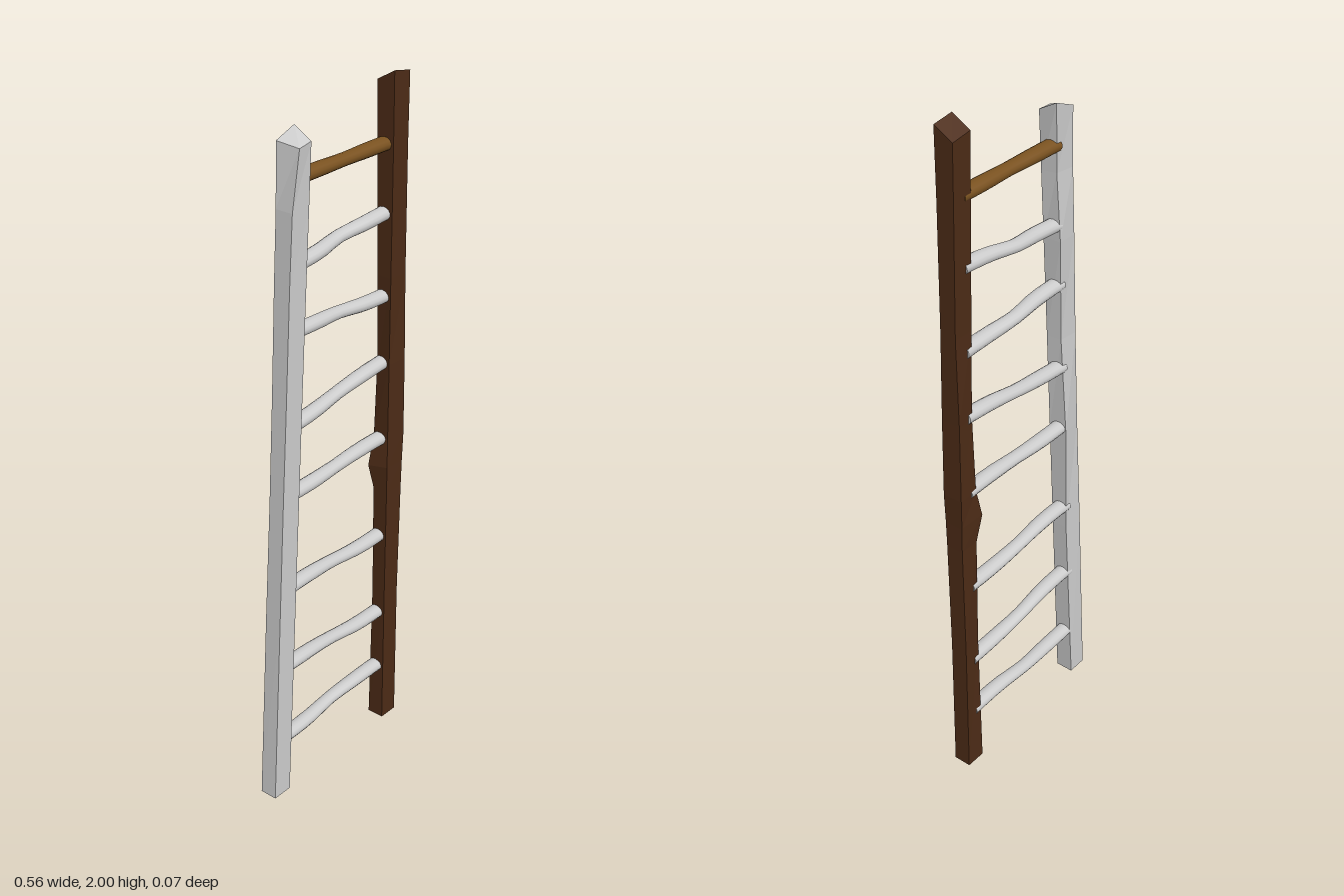
import * as THREE from 'three';

const grey = new THREE.MeshStandardMaterial({ color: 0xcccccc });
const greyFlat = new THREE.MeshStandardMaterial({ color: 0xcccccc, flatShading: true });
const darkWood = new THREE.MeshStandardMaterial({ color: 0x4c2b16, flatShading: true });
const warmWood = new THREE.MeshStandardMaterial({ color: 0x7a5220 });

// Skins rings of points (each counter-clockwise about the travel axis) and caps both ends.
function loft(rings) {
  const n = rings[0].length;
  const positions = rings.flat(2);
  const index = [];
  for (let i = 0; i < rings.length - 1; i++) {
    for (let j = 0; j < n; j++) {
      const a = i * n + j, b = i * n + (j + 1) % n;
      index.push(a, b, b + n, a, b + n, a + n);
    }
  }
  // caps get their own vertices so their edges stay sharp
  const first = positions.length / 3, last = first + n;
  positions.push(...rings[0].flat(), ...rings[rings.length - 1].flat());
  for (let j = 1; j < n - 1; j++) {
    index.push(first, first + j + 1, first + j, last, last + j, last + j + 1);
  }
  const geometry = new THREE.BufferGeometry();
  geometry.setAttribute('position', new THREE.Float32BufferAttribute(positions, 3));
  geometry.setIndex(index);
  geometry.computeVertexNormals();
  return geometry;
}

// A hewn rail. Each row: height, then x,z of front-left, front-right, back-right, back-left
// corners as seen from the front; topCut lowers or raises the four corners of the last row.
function rail(name, rows, material, lean, topCut) {
  const rings = rows.map(([y, ...c], i) => [0, 1, 2, 3].map((k) => [
    c[2 * k] + lean * y,
    y + (i === rows.length - 1 ? topCut[k] : 0),
    c[2 * k + 1],
  ]));
  const mesh = new THREE.Mesh(loft(rings), material);
  mesh.name = name;
  return mesh;
}

// A whittled rung running along x, with a bend and a swelling near its middle.
function rung(name, xa, ya, xb, yb, bendY, bendZ, material) {
  const rings = [];
  const sides = 14, steps = 10;
  for (let i = 0; i <= steps; i++) {
    const t = i / steps;
    const bump = Math.exp(-(((t - 0.5) / 0.17) ** 2));
    const wave = Math.sin(t * Math.PI * 2);
    const cy = THREE.MathUtils.lerp(ya, yb, t) + bendY * wave;
    const cz = -0.004 + bendZ * bump;
    const r = 0.0185 - 0.002 * bump;
    const ring = [];
    for (let j = 0; j < sides; j++) {
      const a = (j / sides) * Math.PI * 2;
      ring.push([THREE.MathUtils.lerp(xa, xb, t), cy + r * Math.cos(a), cz + r * 1.25 * Math.sin(a)]);
    }
    rings.push(ring);
  }
  const mesh = new THREE.Mesh(loft(rings), material);
  mesh.name = name;
  return mesh;
}

export function createModel() {
  const ladder = new THREE.Group();
  ladder.name = 'ladder';

  // straight dark rail on the model's left, with a knot on its inner back edge
  // (corner order runs front-left, front-right, back-right, back-left; seen from above, counter-clockwise)
  ladder.add(rail('leftRail', [
    [0.00, 0.215, 0.025, 0.275, 0.027, 0.275, -0.025, 0.215, -0.026],
    [0.45, 0.215, 0.025, 0.275, 0.026, 0.275, -0.025, 0.217, -0.020],
    [0.80, 0.215, 0.026, 0.276, 0.030, 0.276, -0.022, 0.217, -0.022],
    [0.88, 0.215, 0.026, 0.277, 0.031, 0.277, -0.024, 0.196, -0.026],
    [0.97, 0.215, 0.026, 0.280, 0.032, 0.279, -0.026, 0.216, -0.023],
    [1.20, 0.215, 0.026, 0.277, 0.032, 0.276, -0.024, 0.220, -0.018],
    [1.45, 0.215, 0.026, 0.276, 0.028, 0.276, -0.019, 0.217, -0.020],
    [1.80, 0.215, 0.026, 0.276, 0.026, 0.276, -0.025, 0.215, -0.025],
    [2.00, 0.215, 0.025, 0.276, 0.027, 0.276, -0.027, 0.215, -0.028],
  ], darkWood, 0, [0, -0.01, -0.04, -0.03]));

  // leaning grey rail on the model's right
  ladder.add(rail('rightRail', [
    [0.01, -0.283, 0.024, -0.222, 0.026, -0.222, -0.028, -0.283, -0.028],
    [0.60, -0.283, 0.024, -0.222, 0.026, -0.222, -0.022, -0.282, -0.027],
    [0.95, -0.283, 0.024, -0.222, 0.026, -0.223, -0.029, -0.282, -0.024],
    [1.25, -0.283, 0.025, -0.222, 0.026, -0.226, -0.018, -0.282, -0.024],
    [1.55, -0.283, 0.025, -0.221, 0.026, -0.222, -0.027, -0.282, -0.026],
    [1.74, -0.283, 0.027, -0.220, 0.026, -0.226, -0.018, -0.282, -0.026],
    [1.90, -0.272, 0.034, -0.222, 0.028, -0.219, -0.027, -0.283, -0.029],
  ], greyFlat, 0.06, [-0.005, 0, 0.03, 0.005]));

  // rungs: right-end height, left-end height, vertical wave, backward bend
  const rungs = [
    [0.18, 0.187, -0.004, -0.006],
    [0.418, 0.383, 0.005, -0.004],
    [0.67, 0.65, 0.005, -0.003],
    [0.957, 0.966, -0.003, 0],
    [1.155, 1.20, -0.003, -0.003],
    [1.415, 1.393, 0.002, -0.008],
    [1.59, 1.626, -0.002, -0.012],
    [1.81, 1.81, 0, 0.001],
  ];
  rungs.forEach(([ya, yb, wave, bend], i) => {
    const xa = -0.24 + 0.06 * ya;
    const top = i === rungs.length - 1;
    ladder.add(rung(`rung${i + 1}`, xa, ya, 0.235, yb, wave, bend, top ? warmWood : grey));
  });

  return ladder;
}
